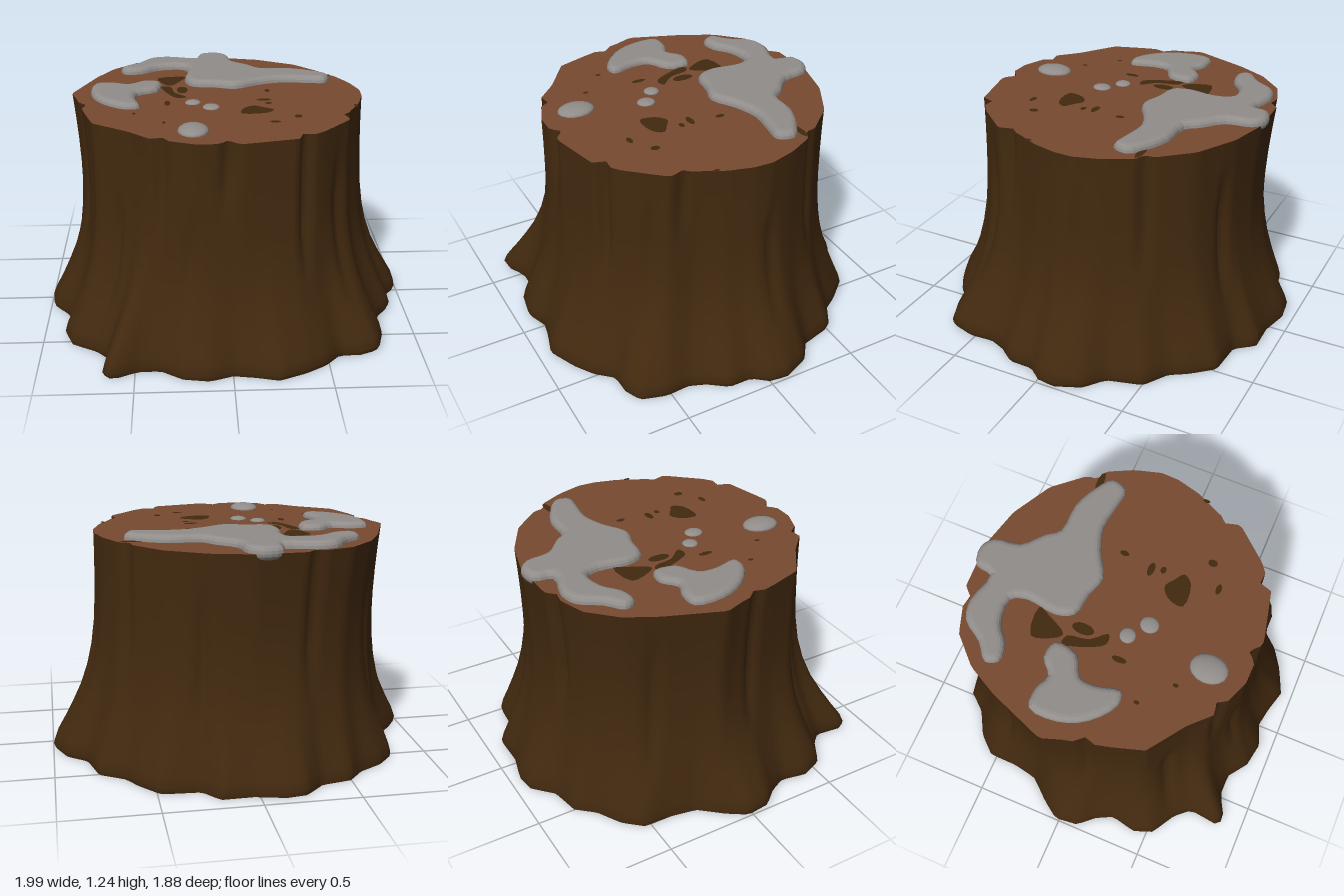
import * as THREE from 'three';

const TOP = 1.2, SEG = 180;

// Outlines as x, z pairs running from +x towards +z
const baseOutline = [
  1, -.1, .985, 0, .92, .08, .92, .21, .845, .31, .81, .4, .82, .53, .78, .67, .685, .71, .57, .71,
  .49, .8, .38, .87, .235, .935, .11, .9, 0, .88, -.12, .925, -.26, .9, -.37, .82, -.49, .82,
  -.62, .89, -.665, .86, -.645, .695, -.715, .615, -.85, .535, -.89, .43, -.86, .29, -.905, .2,
  -.985, .11, -1, -.02, -.93, -.12, -.825, -.24, -.8, -.375, -.8, -.535, -.715, -.63, -.58, -.705,
  -.5, -.8, -.34, -.83, -.235, -.935, -.13, -.95, .03, -.91, .2, -.915, .28, -.81, .485, -.8,
  .59, -.68, .645, -.59, .78, -.51, .83, -.32, .94, -.24];
const topOutline = [
  .74, -.1, .735, 0, .7, .13, .63, .27, .61, .4, .46, .57, .325, .67, .06, .73, -.18, .725,
  -.395, .64, -.5, .535, -.69, .4, -.74, .24, -.8, 0, -.835, -.1, -.72, -.4, -.635, -.56,
  -.5, -.695, -.26, -.775, 0, -.785, .22, -.73, .43, -.615, .62, -.4, .7, -.24];

// Vertical cracks: angle in degrees, depth, lowest y, highest y
const cracks = [
  [91.5, .05, .85, 1.3], [118, .035, .7, 1.3], [106, .025, .3, .8], [60, .04, .5, 1.3],
  [41, .03, .2, 1], [140, .03, .1, .8], [28, .03, .8, 1.3], [172, .03, .4, 1.3],
  [212, .03, .2, 1], [248, .03, .5, 1.3], [290, .03, .3, 1], [325, .035, .5, 1.3], [352, .025, .2, .9]];

// Radius of a closed outline along a direction
function radiusAt(outline, a) {
  const n = outline.length / 2, dx = Math.cos(a), dz = Math.sin(a);
  let best = 0;
  for (let i = 0; i < n; i++) {
    const j = (i + 1) % n;
    const px = outline[2 * i], pz = outline[2 * i + 1];
    const ex = outline[2 * j] - px, ez = outline[2 * j + 1] - pz;
    const d = dx * ez - dz * ex;
    if (Math.abs(d) < 1e-9) continue;
    const r = (px * ez - pz * ex) / d, t = (px * dz - pz * dx) / d;
    if (r > 0 && t >= -1e-6 && t <= 1 + 1e-6) best = Math.max(best, r);
  }
  return best;
}

// Each level: height and how far it spreads towards the root outline
const levels = [[0, .95], [.03, 1], [.08, .93], [.15, .77], [.24, .58], [.34, .39], [.45, .24],
  [.57, .13], [.7, .06], [.82, .03], [.95, .01], [1.08, 0], [TOP, 0]];

function ring(y, f) {
  return Array.from({ length: SEG }, (_, i) => {
    const a = i / SEG * Math.PI * 2, deg = i / SEG * 360;
    let r = THREE.MathUtils.lerp(radiusAt(topOutline, a), radiusAt(baseOutline, a), f);
    // slight waist on the back left side
    r -= .05 * Math.max(0, -(Math.cos(a) + Math.sin(a)) * .7) * Math.sin(Math.PI * y / TOP);
    for (const [c, depth, y0, y1] of cracks) {
      const fade = Math.min(1, Math.max(0, (y - y0) / .2), Math.max(0, (y1 - y) / .1));
      r -= depth * fade * Math.max(0, 1 - Math.abs(deg - c) / 4);
    }
    return [r * Math.cos(a), y, r * Math.sin(a)];
  });
}

function indexed(points, index) {
  const g = new THREE.BufferGeometry();
  g.setAttribute('position', new THREE.Float32BufferAttribute(points.flat(), 3));
  g.setIndex(index);
  g.computeVertexNormals();
  return g;
}

function wallGeometry(rings) {
  const index = [];
  for (let l = 0; l < rings.length - 1; l++) {
    for (let i = 0; i < SEG; i++) {
      const j = (i + 1) % SEG, a = l * SEG + i, b = l * SEG + j;
      index.push(a, a + SEG, b, b, a + SEG, b + SEG);
    }
  }
  return indexed(rings.flat(), index);
}

function capGeometry(loop, up) {
  const index = [];
  for (let i = 0; i < SEG; i++) {
    const j = (i + 1) % SEG;
    index.push(SEG, up ? j : i, up ? i : j);
  }
  return indexed([...loop, [0, loop[0][1], 0]], index);
}

// Smooth closed shape through x, z pairs
function blobShape(pairs) {
  const pts = [];
  for (let i = 0; i < pairs.length; i += 2) pts.push(new THREE.Vector3(pairs[i], -pairs[i + 1], 0));
  const curve = new THREE.CatmullRomCurve3(pts, true);
  return new THREE.Shape(curve.getPoints(pts.length * 3).slice(0, -1).map(p => new THREE.Vector2(p.x, p.y)));
}

export function createModel() {
  const bark = new THREE.MeshStandardMaterial({ color: 0x42290f });
  bark.name = 'bark brown';
  const wood = new THREE.MeshStandardMaterial({ color: 0x774a30 });
  wood.name = 'cut wood';
  const grey = new THREE.MeshStandardMaterial({ color: 0x918d8a });
  grey.name = 'pale grey';

  const model = new THREE.Group();
  model.name = 'treeStump';
  const add = (name, geometry, material, parent = model) => {
    const mesh = new THREE.Mesh(geometry, material);
    mesh.name = name;
    parent.add(mesh);
    return mesh;
  };

  // Trunk and its two ends
  const rings = levels.map(([y, f]) => ring(y, f));
  add('trunk', wallGeometry(rings), bark);
  add('underside', capGeometry(rings[0], false), bark);
  add('cutTop', capGeometry(rings[rings.length - 1], true), wood);

  // Raised grey patches
  const patches = new THREE.Group();
  patches.name = 'greyPatches';
  model.add(patches);
  const largePatch = [
    -.03, -.8, .04, -.75, .065, -.615, .165, -.52, .22, -.455, .38, -.445, .51, -.39, .595, -.32,
    .565, -.235, .47, -.24, .325, -.257, .19, -.215, .06, -.145, -.05, -.175, -.18, -.2, -.22, -.295,
    -.2, -.455, -.235, -.535, -.37, -.52, -.46, -.455, -.555, -.445, -.585, -.51, -.5, -.585,
    -.42, -.695, -.315, -.72, -.155, -.685, -.13, -.775];
  const sidePatch = [
    -.715, -.21, -.61, -.22, -.53, -.19, -.45, -.25, -.355, -.23, -.37, -.107, -.475, -.04,
    -.485, .05, -.46, .175, -.53, .19, -.66, .09, -.725, -.05];
  for (const [name, pairs, height] of [['largePatch', largePatch, .036], ['sidePatch', sidePatch, .03]]) {
    const g = new THREE.ExtrudeGeometry(blobShape(pairs), {
      depth: .002, bevelThickness: height, bevelSize: .035, bevelOffset: -.035, bevelSegments: 4 });
    g.rotateX(-Math.PI / 2);
    add(name, g, grey, patches).position.y = TOP;
  }
  for (const [x, z, rx, rz, h] of [[-.18, .09, .042, .042, .015], [-.085, .17, .045, .05, .015], [-.185, .53, .078, .1, .03]]) {
    const m = add('smallPatch', new THREE.SphereGeometry(1, 16, 10), grey, patches);
    m.position.set(x, TOP, z);
    m.scale.set(rx, h, rz);
  }

  // Dark rot marks lying on the cut wood
  const marks = new THREE.Group();
  marks.name = 'rotMarks';
  marks.position.y = TOP + .003;
  model.add(marks);
  const markOutlines = [
    [-.37, -.36, -.21, -.38, -.235, -.32, -.3, -.21, -.34, -.25],
    [-.35, -.2, -.3, -.19, -.275, -.08, -.21, 0, -.265, .01, -.315, -.07],
    [.07, .285, .085, .2, .14, .16, .19, .19, .24, .23, .2, .28]];
  for (const pairs of markOutlines) {
    add('rotMark', new THREE.ShapeGeometry(blobShape(pairs)).rotateX(-Math.PI / 2), bark, marks);
  }
  const spots = [
    [-.235, -.13, .03, .06], [-.315, .1, .016, .04], [.2, .06, .04, .018], [.22, .12, .02, .015],
    [.23, -.1, .015, .025], [.355, .34, .02, .025], [.23, .42, .03, .015], [.675, .18, .01, .02],
    [-.485, .265, .01, .015], [-.33, .41, .01, .015], [.56, -.38, .06, .018]];
  for (const [x, z, rx, rz] of spots) {
    const m = add('rotSpot', new THREE.CircleGeometry(1, 12).rotateX(-Math.PI / 2), bark, marks);
    m.position.set(x, 0, z);
    m.scale.set(rx, 1, rz);
  }
  return model;
}
